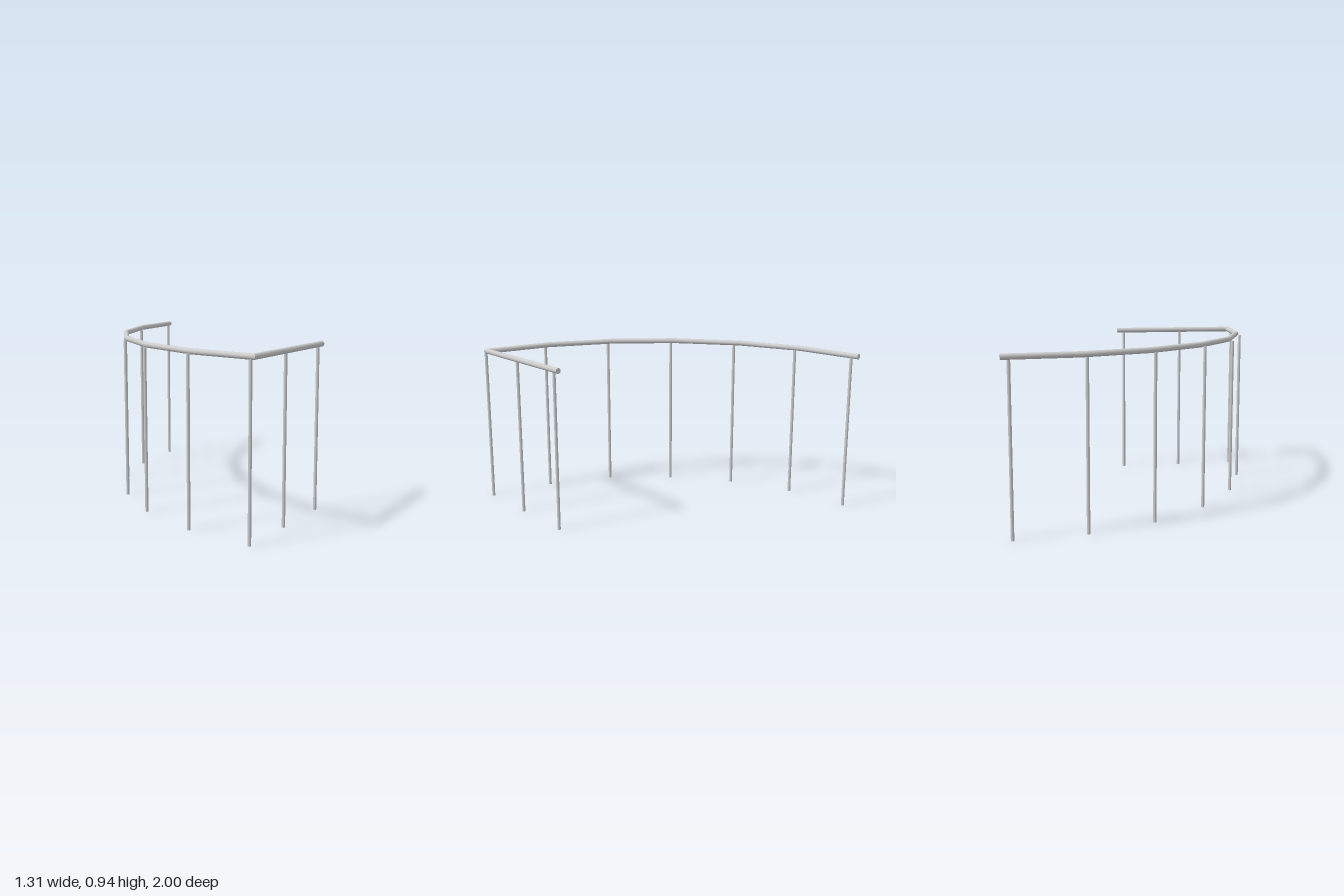
import * as THREE from 'three';
import { mergeGeometries } from 'three/addons/utils/BufferGeometryUtils.js';

const RAIL_Y = 0.9205, RAIL_R = 0.0155, POST_R = 0.009, POST_TOP = 0.91;

// Handrail corners in plan (x, z)
const railPlan = [
  [-0.56, -0.996], [-0.64, -0.605], [-0.618, -0.2], [-0.487, 0.187],
  [-0.266, 0.523], [0.038, 0.789], [0.394, 0.968], [0.641, 0.258],
];

// Posts in plan, with the height of the foot (x, z, foot)
const postPlan = [
  [-0.557, -0.952, 0], [-0.636, -0.571, 0], [-0.614, -0.17, 0],
  [-0.488, 0.215, 0], [-0.269, 0.55, 0.006], [0.035, 0.814, 0.003],
  [0.383, 0.991, 0], [0.501, 0.655, 0], [0.625, 0.3, 0],
];

// Round bar along a polyline: mitred joints, smooth at gentle bends, flat ends
function mitredBar(points, radius, sides) {
  const up = new THREE.Vector3(0, 1, 0), forward = new THREE.Vector3(0, 0, 1);
  const dirs = points.slice(1).map((p, i) => p.clone().sub(points[i]).normalize());
  const parts = dirs.map((dir, i) => {
    const a = points[i], b = points[i + 1];
    const geo = new THREE.CylinderGeometry(radius, radius, a.distanceTo(b), sides, 1, true);
    geo.applyQuaternion(new THREE.Quaternion().setFromUnitVectors(up, dir));
    const mid = a.clone().add(b).multiplyScalar(0.5);
    geo.translate(mid.x, mid.y, mid.z);
    const { position, normal } = geo.attributes;
    const v = new THREE.Vector3(), n = new THREE.Vector3();
    for (let k = 0; k < position.count; k++) {
      // Slide each end ring along the bar onto the mitre plane
      v.fromBufferAttribute(position, k);
      const atEnd = v.clone().sub(mid).dot(dir) > 0;
      const next = dirs[atEnd ? i + 1 : i - 1] ?? dir;
      const mitre = dir.clone().add(next).normalize();
      v.addScaledVector(dir, (atEnd ? b : a).clone().sub(v).dot(mitre) / dir.dot(mitre));
      position.setXYZ(k, v.x, v.y, v.z);
      // Blend normals across gentle bends, keep the sharp corner crisp
      if (dir.dot(next) > 0.7) {
        n.fromBufferAttribute(normal, k).projectOnPlane(mitre).normalize();
        normal.setXYZ(k, n.x, n.y, n.z);
      }
    }
    return geo;
  });
  const ends = [[points[0], dirs[0].clone().negate()], [points.at(-1), dirs.at(-1)]];
  for (const [p, outward] of ends) {
    const cap = new THREE.CircleGeometry(radius, sides);
    cap.applyQuaternion(new THREE.Quaternion().setFromUnitVectors(forward, outward));
    parts.push(cap.translate(p.x, p.y, p.z));
  }
  return mergeGeometries(parts);
}

export function createModel() {
  const model = new THREE.Group();
  model.name = 'railing';
  const material = new THREE.MeshStandardMaterial({ color: 0xcccccc });

  // Handrail
  const path = railPlan.map(([x, z]) => new THREE.Vector3(x, RAIL_Y, z));
  const rail = new THREE.Mesh(mitredBar(path, RAIL_R, 24), material);
  rail.name = 'handrail';
  model.add(rail);

  // Posts
  const posts = new THREE.Group();
  posts.name = 'posts';
  postPlan.forEach(([x, z, foot], i) => {
    const height = POST_TOP - foot;
    const post = new THREE.Mesh(new THREE.CylinderGeometry(POST_R, POST_R, height, 16), material);
    post.position.set(x, foot + height / 2, z);
    post.name = `post${i + 1}`;
    posts.add(post);
  });
  model.add(posts);
  return model;
}
